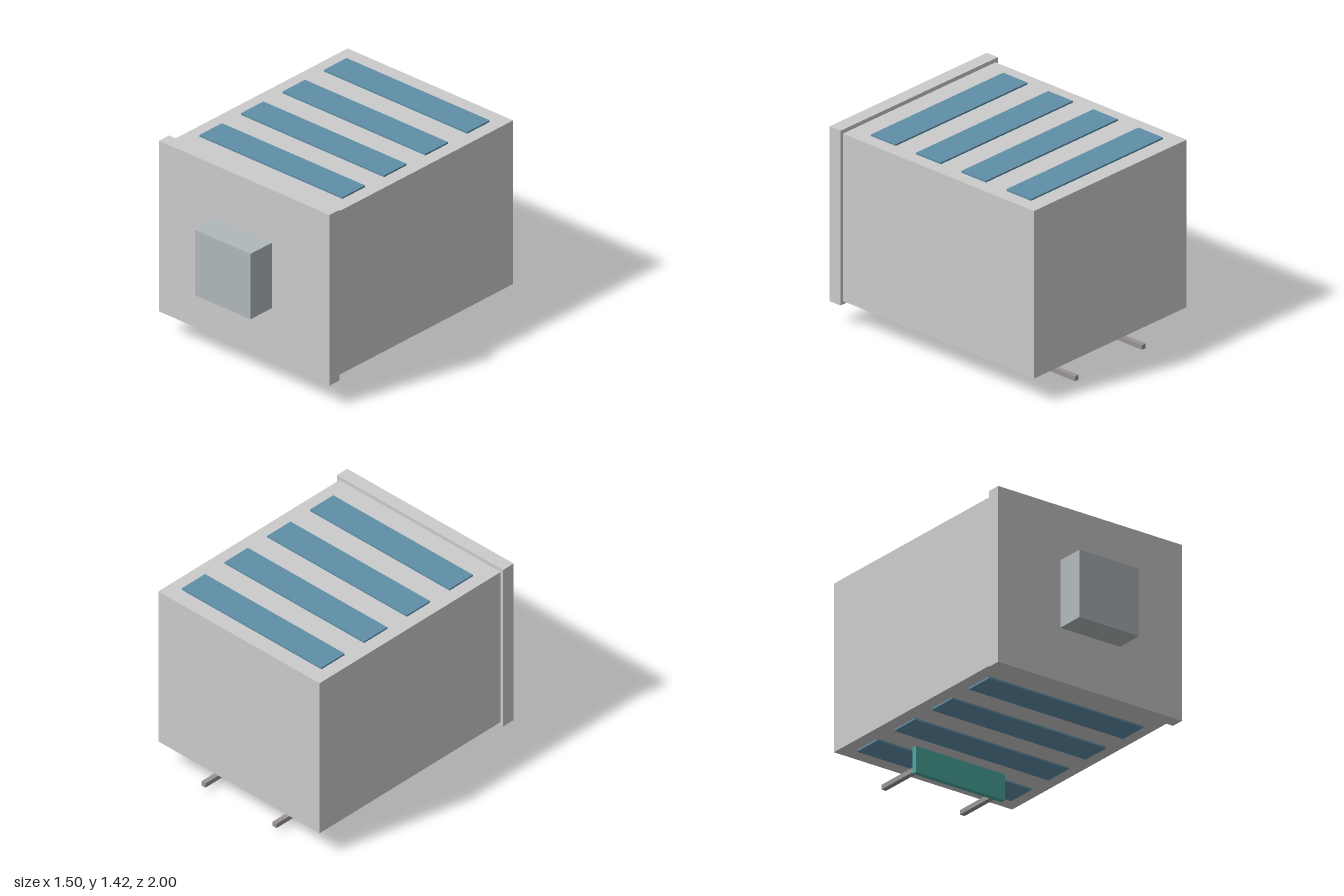
import * as THREE from 'three';

export function createModel() {
  const group = new THREE.Group();
  const grey = new THREE.MeshStandardMaterial({ color: 0xcccccc });
  const handleGrey = new THREE.MeshStandardMaterial({ color: 0xb0b8bb });
  const slate = new THREE.MeshStandardMaterial({ color: 0x5f8fa8 });
  const teal = new THREE.MeshStandardMaterial({ color: 0x4aa89f });
  const railGrey = new THREE.MeshStandardMaterial({ color: 0x9a9494 });

  // Box given by its extents along each axis
  function box(name, material, [x0, x1], [y0, y1], [z0, z1]) {
    const mesh = new THREE.Mesh(new THREE.BoxGeometry(x1 - x0, y1 - y0, z1 - z0), material);
    mesh.position.set((x0 + x1) / 2, (y0 + y1) / 2, (z0 + z1) / 2);
    mesh.name = name;
    group.add(mesh);
  }

  // Main housing with its front plate and handle block
  box('housing', grey, [-0.727, 0.727], [0.187, 1.395], [-1, 0.695]);
  box('frontPlate', grey, [-0.75, 0.75], [0.163, 1.423], [0.695, 0.793]);
  box('frontHandle', handleGrey, [-0.243, 0.243], [0.55, 1.033], [0.793, 1]);

  // Raised panels in matching rows on the top and the underside
  for (let i = 0; i < 4; i++) {
    const z = 0.427 - i * 0.4;
    const depth = [z - 0.109, z + 0.109];
    box('topPanel' + (i + 1), slate, [-0.629, 0.629], [1.385, 1.407], depth);
    box('bottomPanel' + (i + 1), slate, [-0.629, 0.629], [0.175, 0.197], depth);
  }

  // Hanging plate with two rails running to the back
  box('hangingPlate', teal, [-0.363, 0.363], [0, 0.187], [-0.634, -0.6]);
  for (const side of [-1, 1]) {
    const x = side * 0.32;
    box(side > 0 ? 'leftRail' : 'rightRail', railGrey, [x - 0.018, x + 0.018], [0.03, 0.064], [-1, -0.634]);
  }

  return group;
}
